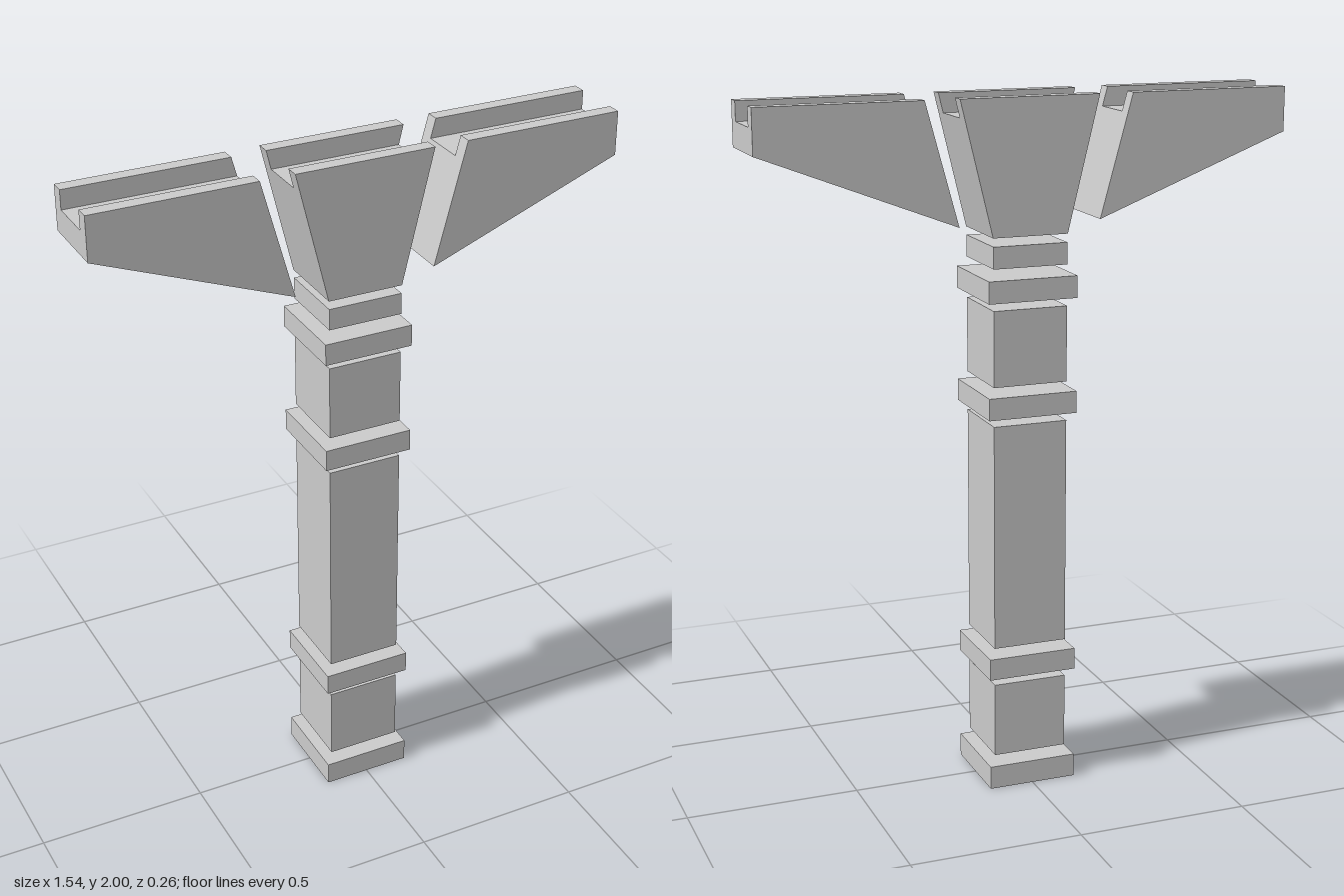
import * as THREE from 'three';

const grey = new THREE.MeshStandardMaterial({ color: 0xcccccc, flatShading: true });
const OUTER = 0.109, INNER = 0.068; // half widths of the stone and of its channel
const TOP = 2, FLOOR = 1.945;       // rim and channel floor heights

// U-shaped ring of ten points on a slanted end line from bottom [x, y] to the rim at x = topX
function endRing([bx, by], topX) {
  const fx = bx + (topX - bx) * (FLOOR - by) / (TOP - by);
  const b = [bx, by], f = [fx, FLOOR], t = [topX, TOP];
  return [
    [b, -OUTER], [b, -INNER], [b, INNER], [b, OUTER], [t, OUTER],
    [t, INNER], [f, INNER], [f, -INNER], [t, -INNER], [t, -OUTER],
  ].map(([[x, y], z]) => [x, y, z]);
}

// Solid with a channel along its top, spanning two end rings
function channelStone(name, ringA, ringB) {
  const pos = [];
  const quad = (a, b, c, d) => pos.push(...a, ...b, ...c, ...a, ...c, ...d);
  ringA.forEach((a, i) => {
    const j = (i + 1) % ringA.length;
    quad(a, ringB[i], ringB[j], ringA[j]);
  });
  for (const [a, b, c, d] of [[0, 1, 8, 9], [1, 2, 6, 7], [2, 3, 4, 5]]) {
    quad(ringA[a], ringA[b], ringA[c], ringA[d]);
    quad(ringB[d], ringB[c], ringB[b], ringB[a]);
  }
  const geo = new THREE.BufferGeometry();
  geo.setAttribute('position', new THREE.Float32BufferAttribute(pos, 3));
  geo.computeVertexNormals();
  const mesh = new THREE.Mesh(geo, grey);
  mesh.name = name;
  return mesh;
}

export function createModel() {
  const model = new THREE.Group();
  model.name = 'bracketedPillar';

  // Square pillar blocks with open joints: name, bottom, top, half width
  const blocks = [
    ['basePlinth', 0, 0.068, 0.131],
    ['lowerShaft', 0.094, 0.313, OUTER],
    ['lowerBand', 0.339, 0.402, 0.131],
    ['mainShaft', 0.426, 1.087, OUTER],
    ['middleBand', 1.112, 1.175, 0.131],
    ['upperShaft', 1.2, 1.417, OUTER],
    ['upperBand', 1.442, 1.505, 0.131],
    ['neckBlock', 1.534, 1.596, OUTER],
  ];
  for (const [name, y0, y1, half] of blocks) {
    const mesh = new THREE.Mesh(new THREE.BoxGeometry(2 * half, y1 - y0, 2 * half), grey);
    mesh.position.y = (y0 + y1) / 2;
    mesh.name = name;
    model.add(mesh);
  }

  // Flared centre capital
  model.add(channelStone('capital', endRing([-0.11, 1.62], -0.203), endRing([0.11, 1.62], 0.203)));

  // Tapering bracket arms, the right one turned half round
  for (const side of ['left', 'right']) {
    const arm = channelStone(side + 'Arm', endRing([0.207, 1.655], 0.302), endRing([0.771, 1.873], 0.771));
    if (side === 'right') arm.rotation.y = Math.PI;
    model.add(arm);
  }
  return model;
}
